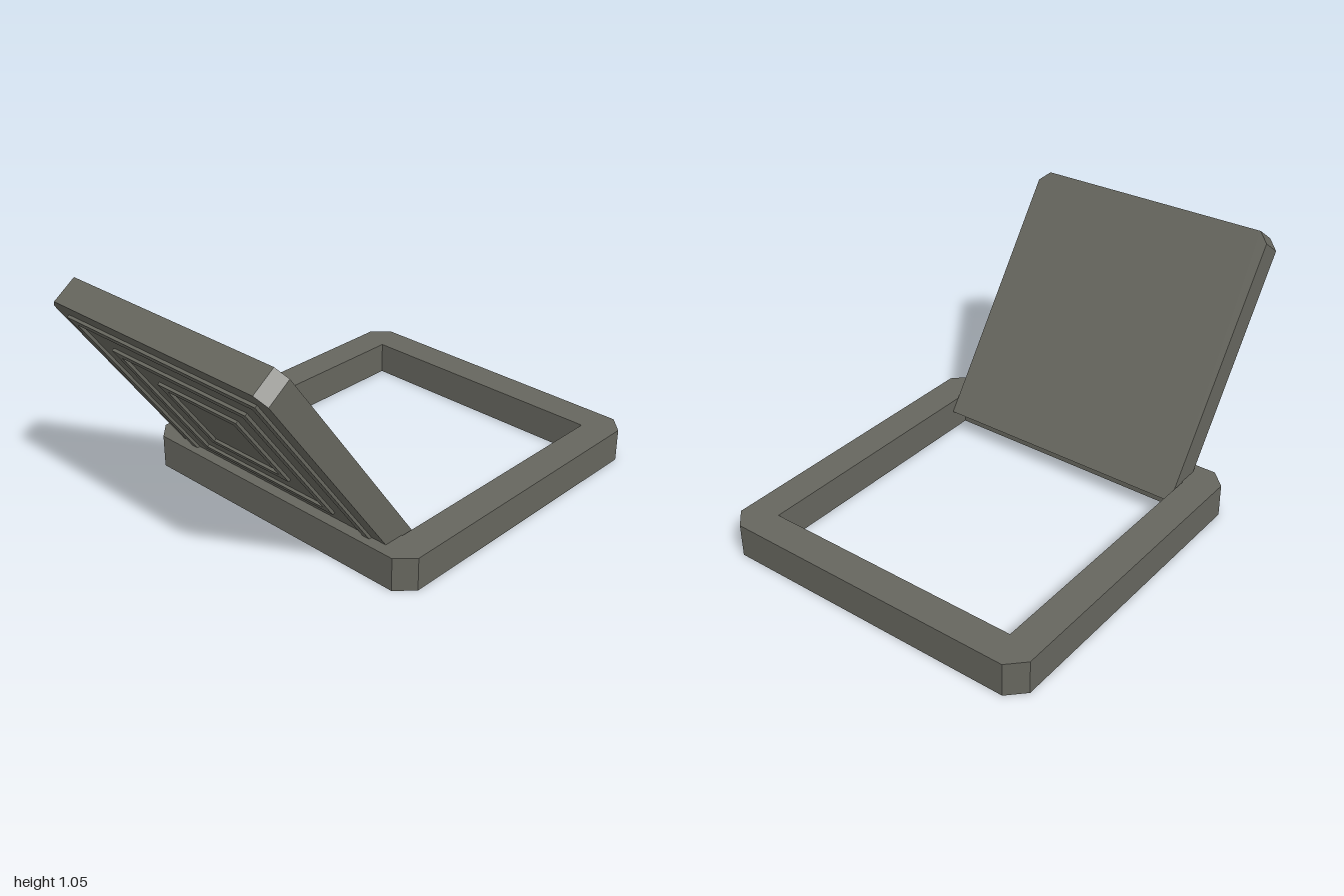
import * as THREE from 'three';

const metal = new THREE.MeshStandardMaterial({ color: 0x66665e });
metal.name = 'warm grey metal';

// Closed outline from corner points
const outline = (pts, Type = THREE.Shape) => new Type(pts.map(([x, y]) => new THREE.Vector2(x, y)));

// Rectangle corners, optionally cut by a chamfer at the top and bottom
function rectPoints(x, y0, y1, top = 0, bottom = 0) {
  const p = [];
  if (bottom) p.push([-x, y0 + bottom], [-x + bottom, y0], [x - bottom, y0], [x, y0 + bottom]);
  else p.push([-x, y0], [x, y0]);
  if (top) p.push([x, y1 - top], [x - top, y1], [-x + top, y1], [-x, y1 - top]);
  else p.push([x, y1], [-x, y1]);
  return p;
}

function plate(name, points, depth, hole) {
  const shape = outline(points);
  if (hole) shape.holes.push(outline(hole, THREE.Path));
  const mesh = new THREE.Mesh(
    new THREE.ExtrudeGeometry(shape, { depth, bevelEnabled: false }), metal);
  mesh.name = name;
  return mesh;
}

export function createModel() {
  const model = new THREE.Group();
  model.name = 'openHatch';

  // Flat frame with cut corners, lying on the ground
  const frame = plate('baseFrame', rectPoints(0.727, -0.455, 1, 0.07, 0.07), 0.145,
    rectPoints(0.585, -0.315, 0.86));
  frame.rotation.x = -Math.PI / 2;
  model.add(frame);

  // Lid leaning forward, its lower edge set into the frame
  const lid = new THREE.Group();
  lid.name = 'lid';
  const thickness = 0.118;
  lid.add(plate('lidPanel', rectPoints(0.581, 0, 1.176, 0.045), thickness));

  // Raised concentric square ridges on the underside of the lid
  const centre = 0.595, width = 0.034;
  [0.51, 0.365, 0.217].forEach((h, i) => {
    const g = h - width;
    const ridge = plate('squareRidge' + (i + 1), rectPoints(h, centre - h, centre + h), 0.012,
      rectPoints(g, centre - g, centre + g));
    ridge.position.z = thickness;
    lid.add(ridge);
  });
  lid.rotation.x = Math.atan2(0.68, 0.96);
  lid.position.set(0, 0.095, 0.225);
  model.add(lid);

  return model;
}
